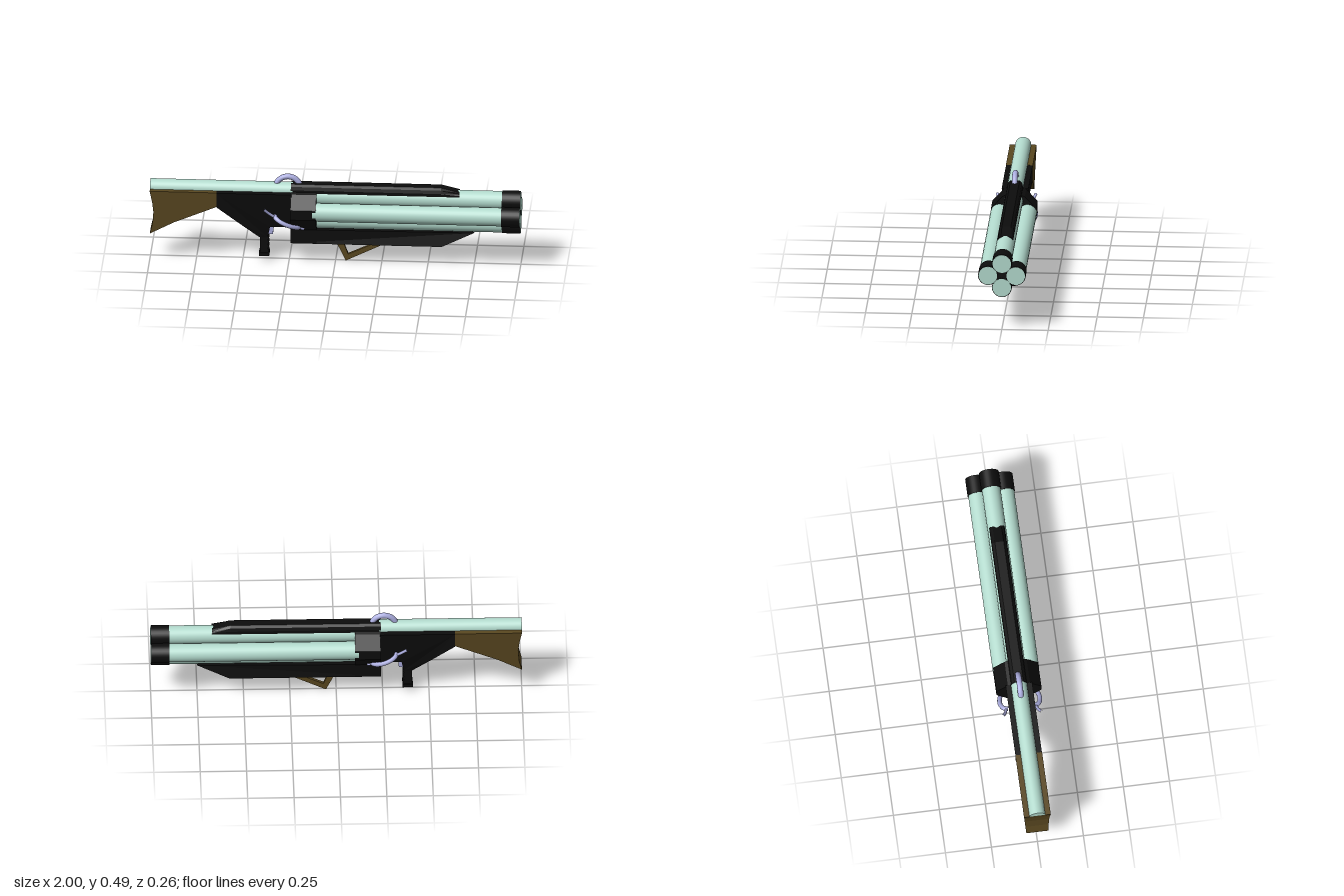
import * as THREE from 'three';

const mat = (color) => new THREE.MeshStandardMaterial({ color });

export function createModel() {
  const group = new THREE.Group();
  const black = mat(0x0d0d0d), teal = mat(0xb5ddd0), wood = mat(0x5a4820), lilac = mat(0xacaee0);

  const add = (name, geo, material) => {
    const mesh = new THREE.Mesh(geo, material);
    mesh.name = name;
    group.add(mesh);
    return mesh;
  };
  const shapeOf = (pts) => new THREE.Shape(pts.map(([a, b]) => new THREE.Vector2(a, b)));

  // Side outline (x, y) given a half width in z that may vary with x and y
  const prism = (outline, halfWidth, hole) => {
    const shape = shapeOf(outline);
    if (hole) shape.holes.push(new THREE.Path(hole.map(([x, y]) => new THREE.Vector2(x, y))));
    const geo = new THREE.ExtrudeGeometry(shape, { depth: 2, bevelEnabled: false }).translate(0, 0, -1);
    const p = geo.attributes.position;
    for (let i = 0; i < p.count; i++) p.setZ(i, p.getZ(i) * halfWidth(p.getX(i), p.getY(i)));
    geo.computeVertexNormals();
    return geo;
  };

  // Mirrored cross-section (z, y) run along x; endY reshapes the far end
  const bar = (half, x0, x1, endY = (y) => y) => {
    const section = [...half, ...half.map(([z, y]) => [-z, y]).reverse()];
    const geo = new THREE.ExtrudeGeometry(shapeOf(section), { depth: x1 - x0, bevelEnabled: false });
    geo.rotateY(Math.PI / 2).translate(x0, 0, 0);
    const p = geo.attributes.position;
    for (let i = 0; i < p.count; i++) if (p.getX(i) > x1 - 1e-4) p.setY(i, endY(p.getY(i)));
    geo.computeVertexNormals();
    return geo;
  };

  const rod = (r, x0, x1, y, z) =>
    new THREE.CylinderGeometry(r, r, x1 - x0, 32).rotateZ(Math.PI / 2).translate((x0 + x1) / 2, y, z);

  // Four barrels with muzzle bands
  for (const [y, z] of [[0.371, 0], [0.304, 0.075], [0.304, -0.075], [0.237, 0]]) {
    add('barrel', rod(0.05, -0.12, 1, y, z), teal);
    add('muzzleBand', rod(0.0535, 0.9, 0.998, y, z), black);
  }
  // Web joining the bands in the middle
  add('muzzleWeb', new THREE.BoxGeometry(0.096, 0.1, 0.07).translate(0.949, 0.304, 0), black);

  // Breech block
  add('breechBlock', bar([
    [0.05, 0.11], [0.05, 0.19], [0.122, 0.275], [0.122, 0.33], [0.06, 0.398], [0.042, 0.405],
  ], -0.238, -0.1), black);

  // Upper rib with sloping nose
  const rib = [[0.042, 0.398], [0.042, 0.415], [0.037, 0.433], [0.024, 0.444]];
  add('upperRib', bar(rib, -0.24, 0.57), black);
  add('upperRibNose', bar(rib, 0.57, 0.67, (y) => 0.398 + (y - 0.398) * 0.45), black);

  // Lower fore-end
  add('foreEnd', prism([[-0.24, 0.11], [0.575, 0.11], [0.75, 0.19], [-0.24, 0.19]],
    (x) => (x > 0.7 ? 0.035 : 0.05)), black);

  // Triangular loop under the fore-end
  add('underLoop', prism([[0, 0.115], [0.055, 0], [0.29, 0.115]], () => 0.009,
    [[0.04, 0.111], [0.225, 0.111], [0.068, 0.038]]), wood);

  // Rear half-round tube
  add('rearTube', new THREE.CylinderGeometry(0.043, 0.043, 0.77, 24, 1, false, 0, Math.PI)
    .rotateZ(Math.PI / 2).translate(-0.615, 0.402, 0), teal);

  // Receiver, narrowing downward to the grip
  add('receiver', prism([
    [-0.64, 0.4], [-0.64, 0.318], [-0.52, 0.22], [-0.41, 0.13], [-0.365, 0.13],
    [-0.352, 0.2], [-0.235, 0.2], [-0.235, 0.4],
  ], (x, y) => 0.025 + 0.047 * THREE.MathUtils.clamp((y - 0.13) / 0.17, 0, 1)), black);

  // Ridged pistol grip with foot
  const ridges = [];
  for (let i = 0; i <= 8; i++) ridges.push([i % 2 ? -0.358 : -0.366, 0.04 + i * 0.0125]);
  add('grip', prism([[-0.408, 0.14], [-0.408, 0.04], ...ridges], () => 0.025), black);
  add('gripFoot', new THREE.BoxGeometry(0.056, 0.018, 0.066).translate(-0.385, 0.033, 0), black);

  // Shoulder stock with hollowed butt
  add('stock', prism([
    [-1, 0.402], [-0.987, 0.34], [-0.98, 0.28], [-0.985, 0.21], [-1, 0.15],
    [-0.87, 0.22], [-0.64, 0.318], [-0.64, 0.402],
  ], (x, y) => 0.06 + (y - 0.15) * 0.05), wood);

  // Trigger
  add('trigger', prism([[-0.37, 0.21], [-0.365, 0.145], [-0.338, 0.145], [-0.332, 0.21]],
    () => 0.015), lilac);

  // Top carrying ring
  add('topRing', new THREE.TorusGeometry(0.067, 0.0155, 12, 24, Math.PI).translate(-0.257, 0.412, 0), lilac);

  // Curved side levers with thin tips
  const tube = (pts, r, s) => new THREE.TubeGeometry(
    new THREE.CatmullRomCurve3(pts.map(([x, y, z]) => new THREE.Vector3(x, y, z * s))), 20, r, 10);
  for (const s of [1, -1]) {
    add('sideLever', tube([[-0.325, 0.274, 0.068], [-0.315, 0.268, 0.093], [-0.285, 0.252, 0.108],
      [-0.24, 0.231, 0.104], [-0.205, 0.215, 0.082], [-0.19, 0.208, 0.058]], 0.0125, s), lilac);
    add('leverTip', tube([[-0.382, 0.325, 0.105], [-0.355, 0.297, 0.09], [-0.325, 0.273, 0.08]], 0.008, s), lilac);
    add('leverEnd', tube([[-0.215, 0.215, 0.085], [-0.19, 0.207, 0.065], [-0.168, 0.199, 0.06]], 0.008, s), lilac);
  }
  return group;
}
